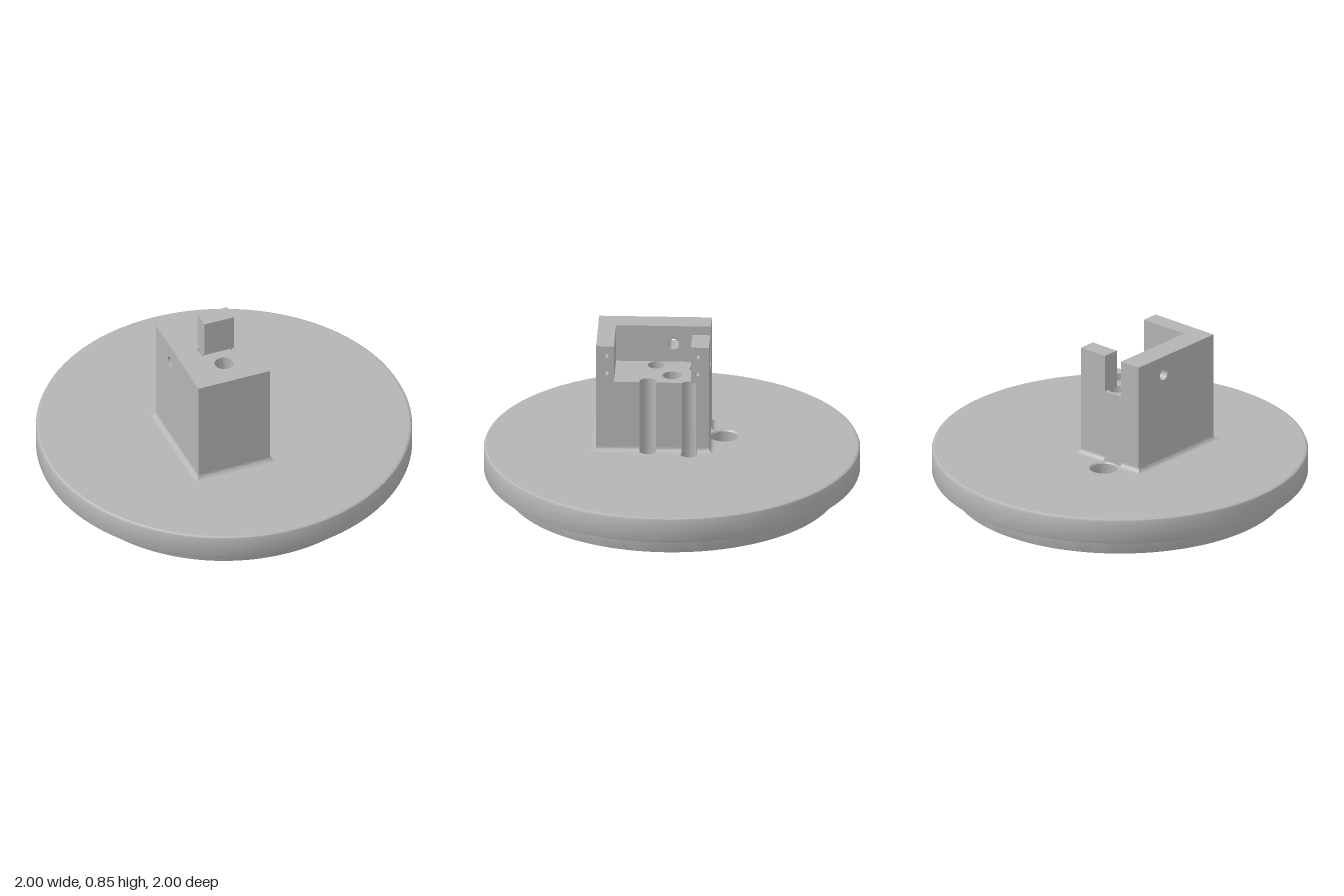
import * as THREE from 'three';
import { toCreasedNormals } from 'three/addons/utils/BufferGeometryUtils.js';

export function createModel() {
  const root = new THREE.Group();
  const grey = new THREE.MeshStandardMaterial({ color: 0xb4b4b4, side: THREE.DoubleSide });
  grey.name = 'plain grey';

  const add = (name, geo, crease = 0.6) => {
    const mesh = new THREE.Mesh(toCreasedNormals(geo, crease), grey);
    mesh.name = name;
    root.add(mesh);
    return mesh;
  };
  const circle = (x, y, r, T = THREE.Path) => new T().absarc(x, y, r, 0, Math.PI * 2, false);
  const rect = (x0, y0, x1, y1) => new THREE.Shape([[x0, y0], [x1, y0], [x1, y1], [x0, y1]]
    .map(p => new THREE.Vector2(...p)));
  // (x, z) outline extruded downward from yTop
  const extrudeDown = (shape, yTop, yBottom) => new THREE.ExtrudeGeometry(shape,
    { depth: yTop - yBottom, bevelEnabled: false, curveSegments: 32 }).rotateX(Math.PI / 2).translate(0, yTop, 0);
  // (z, y) outline extruded along x
  const extrudeX = (shape, x0, x1) => new THREE.ExtrudeGeometry(shape,
    { depth: x1 - x0, bevelEnabled: false, curveSegments: 24 }).rotateY(-Math.PI / 2).translate(x1, 0, 0);
  const tube = (x, z, r, y0, y1) => new THREE.CylinderGeometry(r, r, y1 - y0, 40, 1, true).translate(x, (y0 + y1) / 2, z);
  // remove the triangles whose centre passes the test
  const dropFaces = (geo, test) => {
    const p = geo.attributes.position, keep = [];
    for (let i = 0; i < geo.index.count; i += 3) {
      const t = [0, 1, 2].map(k => geo.index.getX(i + k));
      const x = t.reduce((s, v) => s + p.getX(v) / 3, 0), z = t.reduce((s, v) => s + p.getZ(v) / 3, 0);
      if (!test(x, z)) keep.push(...t);
    }
    geo.setIndex(keep);
    return geo;
  };

  const PLATE = 0.245, CEIL = 0.1, SEAT = 0.11, FLOOR = 0.645, TOP = 0.85;
  const BORE = 0.045, PIN = 0.013, CENTRE = 0.05;
  const bores = [[-0.1, -0.135], [0.125, -0.095], [0.09, 0.125], [-0.135, 0.09]];
  const port = { x: -0.13, z: -0.275, r: 0.073, flare: 0.07 };

  // Disc rim with the stepped lower ring
  add('discRim', new THREE.LatheGeometry([
    [0.855, CEIL], [0.855, 0.008], [0.863, 0], [0.88, 0], [0.887, 0.003], [0.89, 0.01], [0.89, 0.105],
    [0.99, 0.105], [0.997, 0.108], [1, 0.115], [1, 0.23], [0.9955, 0.2405], [0.985, PLATE],
  ].map(p => new THREE.Vector2(...p)), 128));

  // Disc top face and recessed underside
  const topFace = circle(0, 0, 0.985, THREE.Shape);
  topFace.holes.push(circle(0, 0, CENTRE), circle(port.x, port.z, port.r + 0.006));
  bores.forEach(([x, z]) => topFace.holes.push(circle(x, z, BORE)));
  const faceDown = (s, y) => new THREE.ShapeGeometry(s, 64).rotateX(Math.PI / 2).translate(0, y, 0);
  const topGeo = faceDown(topFace, PLATE);
  topGeo.index.array.reverse();
  topGeo.computeVertexNormals();
  add('discTop', topGeo);
  const underside = circle(0, 0, 0.855, THREE.Shape);
  underside.holes.push(circle(0, 0, CENTRE), circle(port.x, port.z, port.r + port.flare));
  bores.slice(1).forEach(([x, z]) => underside.holes.push(circle(x, z, PIN)));
  add('discUnderside', faceDown(underside, CEIL));

  // Cable port, flared towards the underside
  const portProfile = [new THREE.Vector2(port.r + 0.006, PLATE), new THREE.Vector2(port.r, PLATE - 0.008)];
  for (let i = 0; i <= 12; i++) {
    const a = i / 12 * Math.PI / 2;
    portProfile.push(new THREE.Vector2(port.r + port.flare * (1 - Math.cos(a)), CEIL + port.flare * (1 - Math.sin(a))));
  }
  const portGeo = new THREE.LatheGeometry(portProfile, 96).translate(port.x, 0, port.z);
  add('cablePort', dropFaces(portGeo, (x, z) => Math.hypot(x - bores[0][0], z - bores[0][1]) < BORE));

  // Shaft hole and screw bores through the disc
  add('shaftHole', tube(0, 0, CENTRE, CEIL, PLATE));
  bores.forEach(([x, z], i) => {
    add('screwBore', tube(x, z, BORE, SEAT, PLATE));
    const seat = new THREE.RingGeometry(PIN, BORE, 40, 5).rotateX(-Math.PI / 2).translate(x, SEAT, z);
    add('screwSeat', i ? seat : dropFaces(seat, (a, b) => Math.hypot(a - port.x, b - port.z) < 0.125));
    if (i) add('screwHole', tube(x, z, PIN, CEIL, SEAT));
  });

  // Lower block: two bores break through its left side as grooves
  const X0 = -0.31, X1 = 0.1, Z0 = -0.2, Z1 = 0.4;
  const body = new THREE.Shape();
  body.moveTo(X0, Z0);
  body.lineTo(X1, Z0);
  for (const [x, z] of [bores[1], bores[2]]) {
    const a = Math.acos((X1 - x) / BORE);
    body.lineTo(X1, z - BORE * Math.sin(a));
    body.absarc(x, z, BORE, -a, a - Math.PI * 2, true);
  }
  body.lineTo(X1, Z1);
  body.lineTo(X0, Z1);
  body.closePath();
  body.holes.push(circle(0, 0, CENTRE), circle(...bores[0], BORE), circle(...bores[3], BORE));
  add('blockBody', extrudeDown(body, FLOOR, PLATE));

  // Upper walls around the pocket
  const sideWall = rect(Z0, FLOOR, Z1, TOP);
  sideWall.holes.push(circle(0, 0.745, 0.03));
  add('sideWall', extrudeX(sideWall, X0, -0.185));
  for (const [name, x0, z0, z1, hz] of [['frontWall', -0.185, 0.305, Z1, 0.345], ['rearPost', -0.07, Z0, -0.105, -0.14]]) {
    add(name + 'Inner', extrudeX(rect(z0, FLOOR, z1, TOP), x0, 0));
    const drilled = rect(z0, FLOOR, z1, TOP);
    for (const y of [0.695, 0.795]) drilled.holes.push(circle(hz, y, 0.011));
    add(name, extrudeX(drilled, 0, X1));
  }

  // Concave fillet round the block foot, in mitred strips
  const R = 0.027, STEPS = 6;
  const fillet = (a, b, n, mitreA, mitreB) => {
    const d = new THREE.Vector2(b[0] - a[0], b[1] - a[1]).normalize();
    const pos = [], idx = [];
    for (let i = 0; i <= STEPS; i++) {
      const t = i / STEPS * Math.PI / 2, o = R * (1 - Math.cos(t)), y = PLATE + R * (1 - Math.sin(t));
      for (const [p, s] of [[a, -mitreA], [b, mitreB]])
        pos.push(p[0] + n[0] * o + d.x * o * s, y, p[1] + n[1] * o + d.y * o * s);
      if (i) idx.push(2 * i - 2, 2 * i, 2 * i - 1, 2 * i - 1, 2 * i, 2 * i + 1);
    }
    const g = new THREE.BufferGeometry();
    g.setAttribute('position', new THREE.Float32BufferAttribute(pos, 3));
    g.setIndex(idx);
    g.computeVertexNormals();
    add('footFillet', g);
  };
  fillet([X0, Z1], [X1, Z1], [0, 1], 1, 1);
  fillet([X0, Z0], [X0, Z1], [-1, 0], 1, 1);
  fillet([X1, Z0], [X0 + 0.24, Z0], [0, -1], 1, 0);
  fillet([X0 + 0.12, Z0], [X0, Z0], [0, -1], 0, 1);
  fillet([X1, Z1], [X1, 0.169], [1, 0], 1, 0);
  fillet([X1, 0.081], [X1, -0.052], [1, 0], 0, 0);
  fillet([X1, -0.138], [X1, Z0], [1, 0], 0, 1);
  // the strip on the right side runs the other way round, so turn its faces outward
  const right = root.children.filter(m => m.name === 'footFillet')[1].geometry;
  const p = right.attributes.position, nrm = right.attributes.normal;
  for (let i = 0; i < p.count; i += 3) {
    const v = [p.getX(i), p.getY(i), p.getZ(i)];
    const m = [nrm.getX(i), nrm.getY(i), nrm.getZ(i)];
    if (m[1] >= 0) continue;
    p.setXYZ(i, p.getX(i + 1), p.getY(i + 1), p.getZ(i + 1));
    p.setXYZ(i + 1, ...v);
  }
  root.children.filter(m => m.name === 'footFillet').forEach(m => {
    m.geometry.computeVertexNormals();
    m.geometry = toCreasedNormals(m.geometry, 0.6);
  });

  return root;
}
